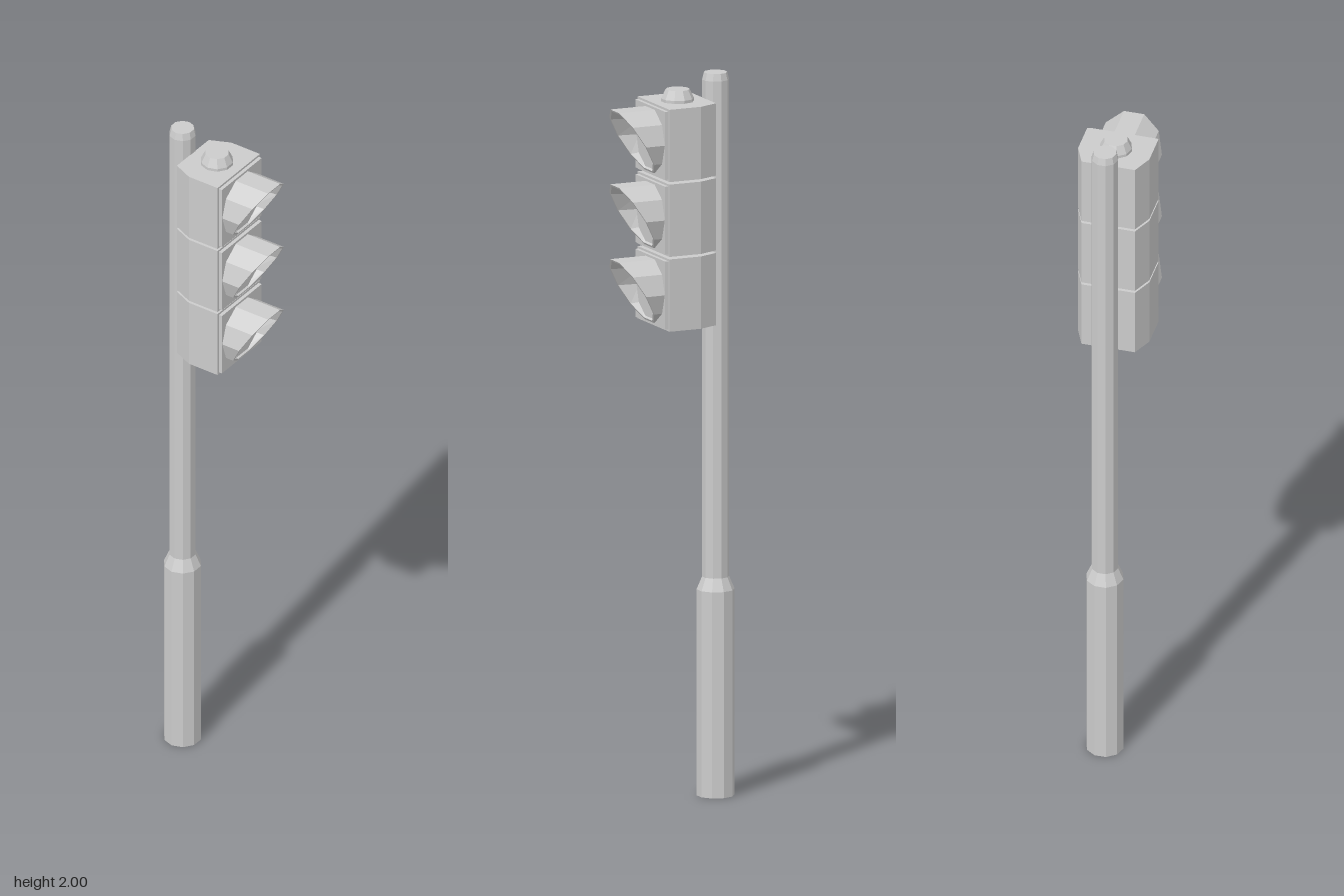
import * as THREE from 'three';

const SIDES = 10, HALF = Math.PI / SIDES;

export function createModel() {
  const root = new THREE.Group();
  const mat = new THREE.MeshStandardMaterial({ color: 0xcccccc, flatShading: true, side: THREE.DoubleSide });

  const add = (parent, name, geo, x = 0, y = 0, z = 0) => {
    const m = new THREE.Mesh(geo, mat);
    m.name = name;
    m.position.set(x, y, z);
    parent.add(m);
    return m;
  };
  // ten-sided turned shape with a flat facing front and back
  const turned = (pts) => new THREE.LatheGeometry(pts.map(p => new THREE.Vector2(...p)), SIDES, HALF);

  // pole: thick sleeve at the foot (open below), thin shaft, bevelled top
  add(root, 'pole', turned([[0.052, 0], [0.052, 0.57], [0.037, 0.605], [0.037, 1.98], [0.032, 2], [0, 2]]), 0, 0, -0.126);

  // housing outline in plan, chamfered towards the back (shape y = -z)
  const plan = new THREE.Shape([
    [-0.1, -0.06], [0.1, -0.06], [0.1, 0.035], [0.075, 0.092], [-0.075, 0.092], [-0.1, 0.035],
  ].map(p => new THREE.Vector2(...p)));
  const housingGeo = new THREE.ExtrudeGeometry(plan, { depth: 0.2, bevelEnabled: false });
  housingGeo.rotateX(-Math.PI / 2).translate(0, -0.1, 0);

  // visor: hollow tube whose front is cut on a slant, longest at the top
  const visorGeo = turned([[0.092, 0], [0.092, 1], [0.086, 1], [0.079, 0]]);
  visorGeo.rotateX(Math.PI / 2);
  const pos = visorGeo.attributes.position;
  for (let i = 0; i < pos.count; i++) {
    pos.setZ(i, 0.065 + pos.getZ(i) * (0.06 + 0.59 * pos.getY(i)));
  }
  visorGeo.computeVertexNormals();

  const lensGeo = new THREE.CylinderGeometry(0.081, 0.081, 0.008, SIDES, 1, false, HALF);
  lensGeo.rotateX(Math.PI / 2);

  // three identical signal sections
  ['lower', 'middle', 'upper'].forEach((level, i) => {
    const section = new THREE.Group();
    section.name = level + 'Signal';
    section.position.y = 1.416 + i * 0.207;
    add(section, 'housing', housingGeo);
    add(section, 'frontDoor', new THREE.BoxGeometry(0.188, 0.188, 0.012), 0, 0, 0.064);
    add(section, 'lens', lensGeo, 0, 0, 0.069);
    add(section, 'visor', visorGeo);
    root.add(section);
  });

  // cap on top of the housing
  add(root, 'topCap', turned([[0.045, 1.928], [0.045, 1.938], [0.033, 1.963], [0, 1.963]]), 0, 0, -0.012);

  return root;
}
